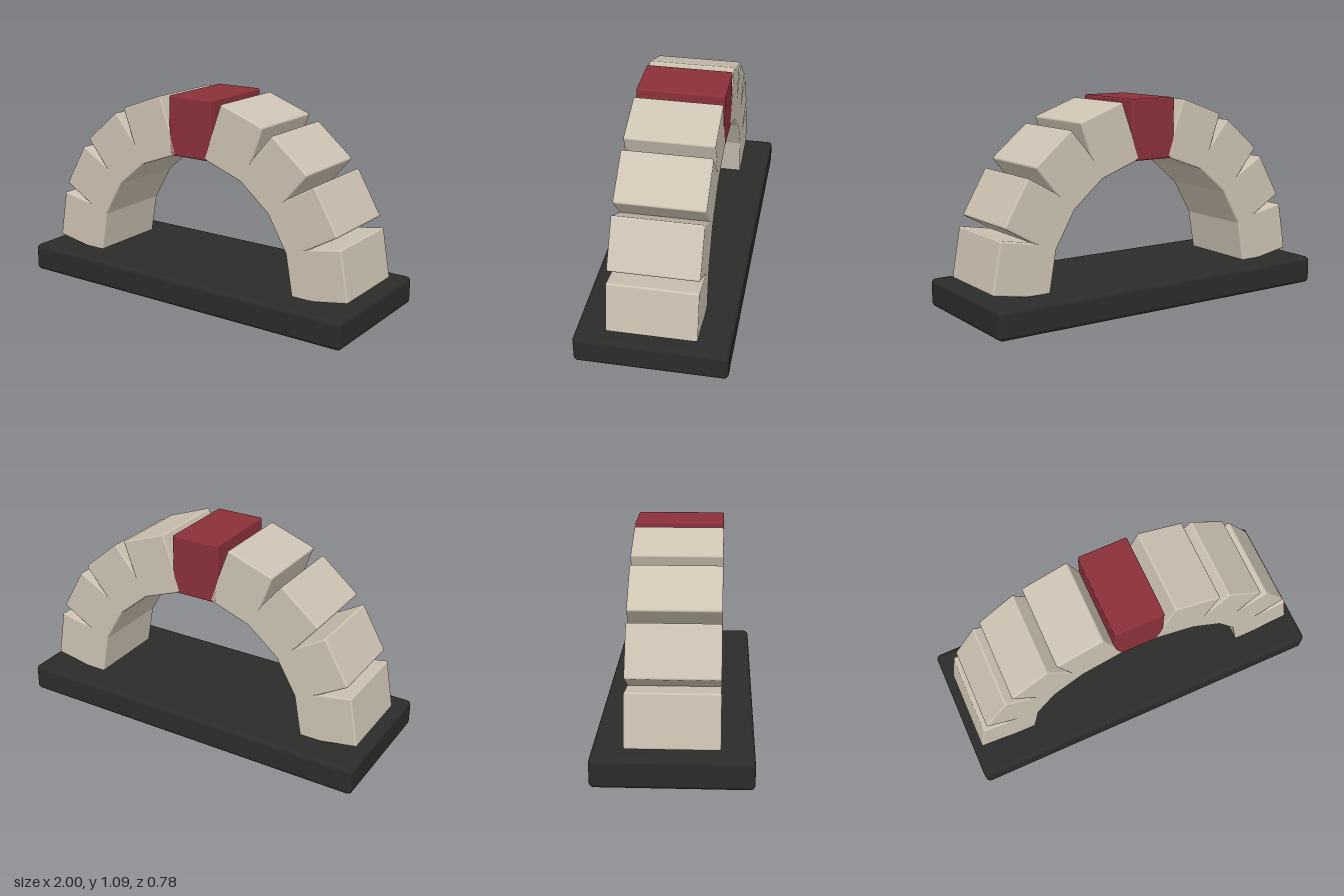
import * as THREE from 'three';
import { RoundedBoxGeometry } from 'three/addons/geometries/RoundedBoxGeometry.js';

const BASE_HEIGHT = 0.15;
const BLOCK_COUNT = 9;
const ARCH_RADIUS = 0.78; // from the springing centre to the middle of each block

export function createModel() {
  const model = new THREE.Group();
  const stone = new THREE.MeshStandardMaterial({ color: 0xcdc3b3 });
  const red = new THREE.MeshStandardMaterial({ color: 0x8b303a });
  const dark = new THREE.MeshStandardMaterial({ color: 0x2b2b2a });

  // Plinth
  const base = new THREE.Mesh(new RoundedBoxGeometry(2, BASE_HEIGHT, 0.78, 4, 0.025), dark);
  base.name = 'base';
  base.position.y = BASE_HEIGHT / 2;
  model.add(base);

  // Arch of equal blocks set radially on a half circle, the middle one being the keystone
  const arch = new THREE.Group();
  arch.name = 'arch';
  arch.position.y = BASE_HEIGHT;
  const blockGeometry = new RoundedBoxGeometry(0.32, 0.27, 0.457, 3, 0.01);
  for (let i = 0; i < BLOCK_COUNT; i++) {
    const angle = ((i + 0.5) / BLOCK_COUNT) * Math.PI;
    const isKeystone = i === (BLOCK_COUNT - 1) / 2;
    const block = new THREE.Mesh(blockGeometry, isKeystone ? red : stone);
    block.name = isKeystone ? 'keystone' : `archBlock${i + 1}`;
    block.position.set(Math.cos(angle) * ARCH_RADIUS, Math.sin(angle) * ARCH_RADIUS, 0);
    block.rotation.z = angle;
    arch.add(block);
  }
  model.add(arch);

  return model;
}
